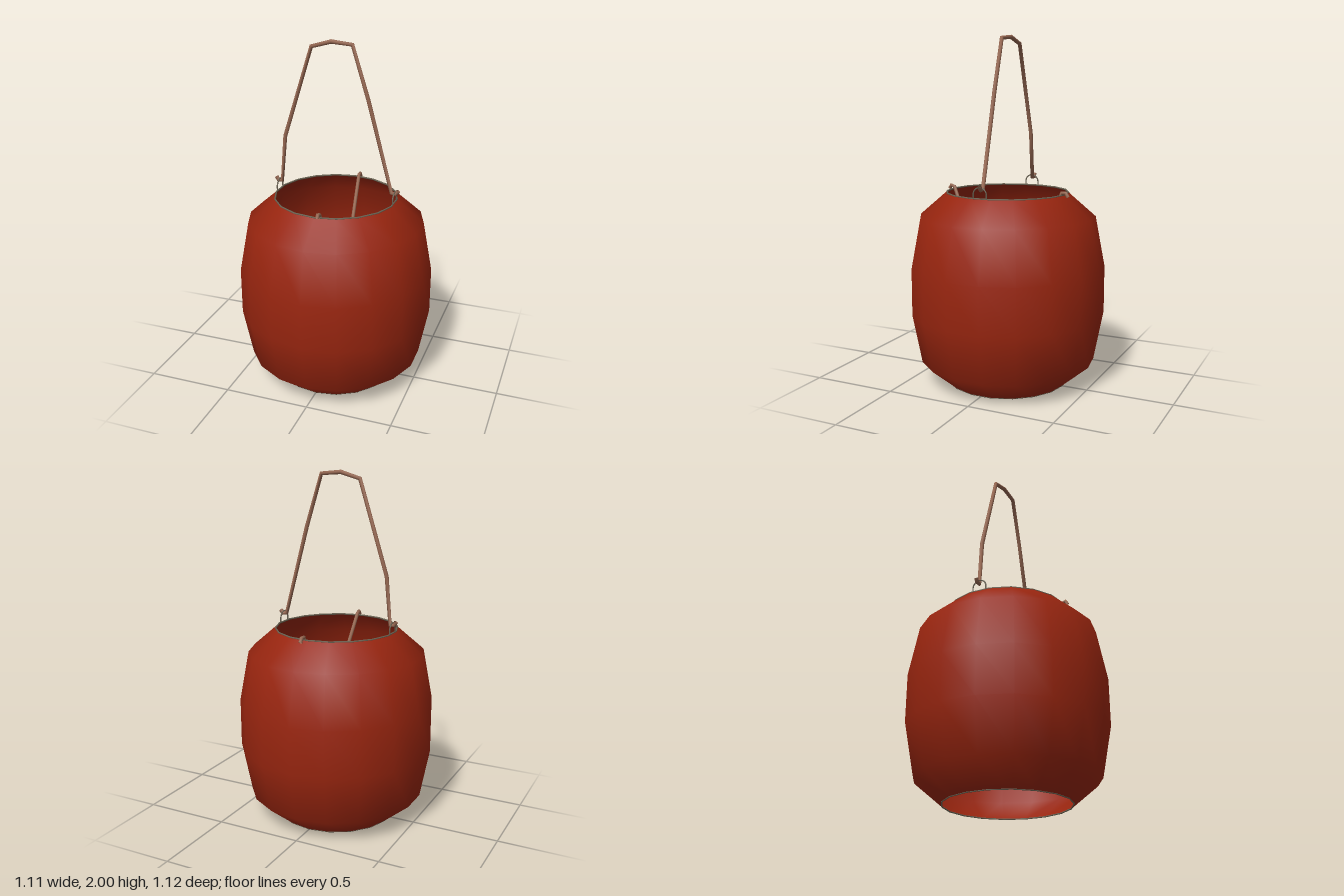
import * as THREE from 'three';

const material = (name, color, extra = {}) => {
  const m = new THREE.MeshStandardMaterial({ color, ...extra });
  m.name = name;
  return m;
};

// Path with straight runs; each corner is one ring of the tube
class BentPath extends THREE.Curve {
  constructor(points) {
    super();
    this.points = points.map((p) => new THREE.Vector3(...p));
  }
  getPoint(t, target = new THREE.Vector3()) {
    const last = this.points.length - 1;
    const i = Math.min(Math.floor(t * last + 1e-6), last - 1);
    return target.lerpVectors(this.points[i], this.points[i + 1], t * last - i);
  }
  getPointAt(t, target) {
    return this.getPoint(t, target);
  }
  getTangentAt(t, target = new THREE.Vector3()) {
    const p = this.points, last = p.length - 1, i = Math.round(t * last);
    target.set(0, 0, 0);
    if (i > 0) target.add(p[i].clone().sub(p[i - 1]).normalize());
    if (i < last) target.add(p[i + 1].clone().sub(p[i]).normalize());
    return target.normalize();
  }
}

export function createModel() {
  const group = new THREE.Group();
  const red = material('red paper', 0x98250f, { side: THREE.DoubleSide });
  const wood = material('brown rod', 0x946650, { side: THREE.DoubleSide });
  const wire = material('grey wire', 0x6a6252);
  const olive = material('olive bulb', 0x6b6633);

  const add = (name, geometry, mat, x = 0, y = 0, z = 0) => {
    const mesh = new THREE.Mesh(geometry, mat);
    mesh.name = name;
    mesh.position.set(x, y, z);
    group.add(mesh);
    return mesh;
  };
  const rod = (name, points, radius = 0.012) =>
    add(name, new THREE.TubeGeometry(new BentPath(points), points.length - 1, radius, 8), wood);

  // Barrel-shaped shade, open at top and bottom
  const profile = [[0.352, 0.005], [0.507, 0.135], [0.562, 0.42], [0.562, 0.69], [0.507, 0.98], [0.352, 1.115]]
    .map(([r, y]) => new THREE.Vector2(r, y));
  add('shade', new THREE.LatheGeometry(profile, 18), red);

  // Wire hoops at both openings
  add('topRim', new THREE.TorusGeometry(0.35, 0.005, 6, 18).rotateX(Math.PI / 2).rotateY(Math.PI / 2), wire, 0, 1.116, 0);
  add('bottomRim', new THREE.TorusGeometry(0.35, 0.004, 6, 18).rotateX(Math.PI / 2).rotateY(Math.PI / 2), wire, 0, 0.005, 0);

  // Wire eyes that hold the handle
  for (const side of [-1, 1]) {
    add(side > 0 ? 'leftEye' : 'rightEye',
      new THREE.TorusGeometry(0.04, 0.004, 6, 14, Math.PI).rotateY(Math.PI / 2), wire, side * 0.347, 1.138, 0);
    for (const z of [-0.04, 0.04]) {
      add('eyeLeg', new THREE.CylinderGeometry(0.004, 0.004, 0.024, 6), wire, side * 0.347, 1.127, z);
    }
  }

  // Bent carrying handle with hooked ends
  rod('handle', [
    [-0.37, 1.185], [-0.36, 1.165], [-0.335, 1.165], [-0.31, 1.435], [-0.145, 1.955], [-0.03, 1.988],
    [0.09, 1.978], [0.185, 1.68], [0.325, 1.17], [0.35, 1.165], [0.365, 1.185],
  ].map(([x, y]) => [x, y, -0.008]));

  // Hanging rods hooked over the rim, front one kinked
  rod('backHanger', [[0.025, 1.108, -0.382], [0.025, 1.13, -0.368], [0.025, 1.13, -0.345], [0.025, 0.36, 0.01]], 0.011);
  rod('frontHanger', [
    [0.025, 1.118, 0.366], [0.025, 1.138, 0.356], [0.025, 1.13, 0.335], [0.062, 0.85, 0.21], [0.02, 0.62, 0.155], [0.02, 0.34, 0.1],
  ], 0.011);

  // Bulb hanging inside
  add('bulb', new THREE.SphereGeometry(0.117, 10, 8), olive, 0.015, 0.3, 0.05);

  return group;
}
